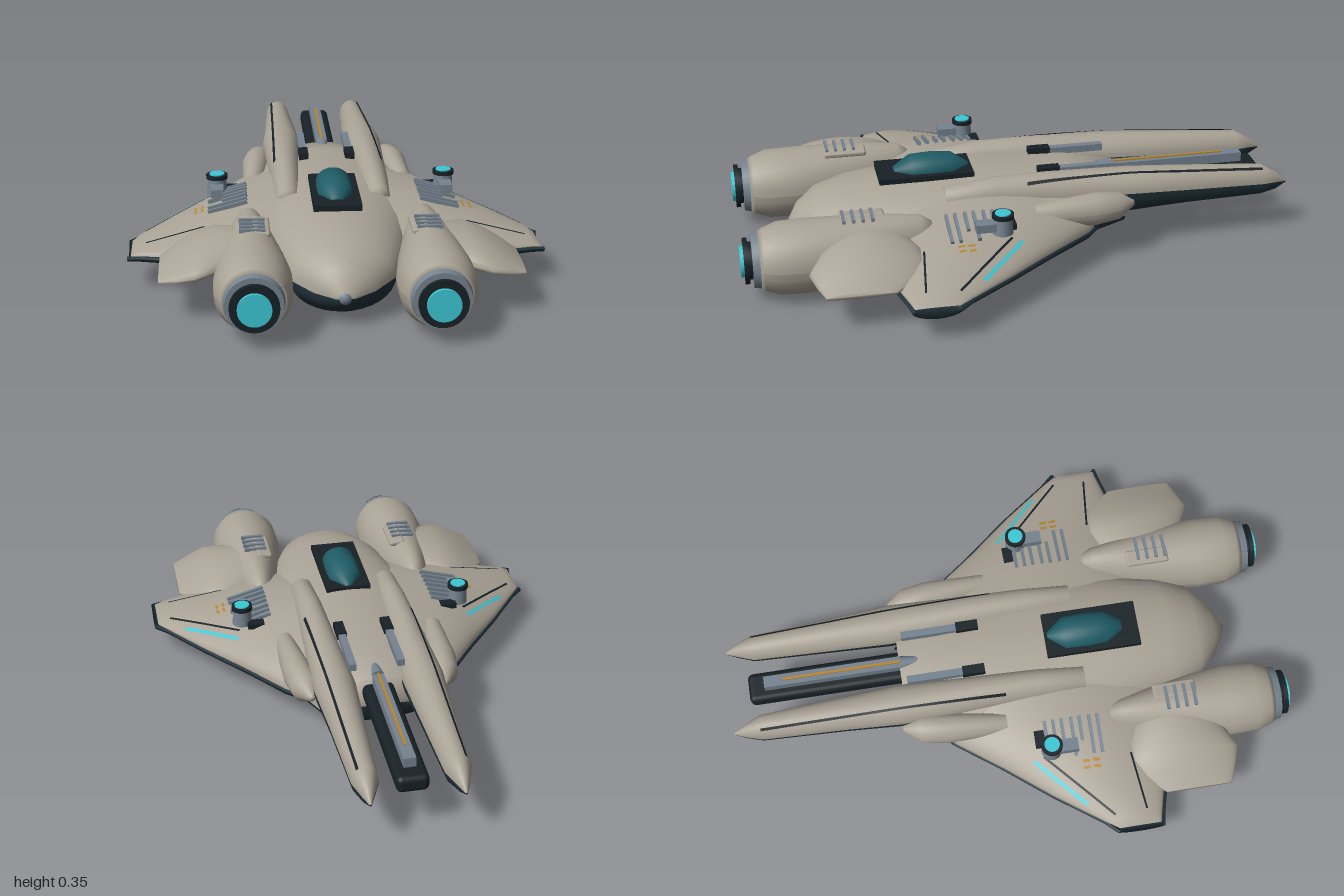
import * as THREE from 'three';
import { RoundedBoxGeometry } from 'three/addons/geometries/RoundedBoxGeometry.js';

const mat = (name, color) => new THREE.MeshStandardMaterial({ name, color, side: THREE.DoubleSide });

// grid of points -> smooth surface
function surface(rows) {
  const n = rows[0].length, pos = [], idx = [];
  rows.forEach((row, i) => row.forEach((p, j) => {
    pos.push(...p);
    if (i && j) {
      const a = (i - 1) * n + j - 1, b = a + 1, c = a + n, d = c + 1;
      idx.push(a, c, b, b, c, d);
    }
  }));
  const g = new THREE.BufferGeometry();
  g.setAttribute('position', new THREE.Float32BufferAttribute(pos, 3));
  g.setIndex(idx);
  g.computeVertexNormals();
  return g;
}

// linear interpolation of a station table, keyed by its first column
function sample(table, k) {
  let i = 1;
  while (i < table.length - 1 && k > table[i][0]) i++;
  const a = table[i - 1], b = table[i];
  const f = THREE.MathUtils.clamp((k - a[0]) / (b[0] - a[0]), 0, 1);
  return a.map((v, j) => v + (b[j] - v) * f);
}

// body sections: [z, halfWidth, top, split, bottom, centreX]
const HULL = [[-0.38, 0.2, 0.25, 0.13, 0.07, 0], [-0.2, 0.29, 0.28, 0.14, 0.045, 0], [0.1, 0.3, 0.29, 0.15, 0.02, 0],
  [0.4, 0.25, 0.287, 0.15, 0.003, 0], [0.6, 0.21, 0.268, 0.14, 0, 0], [0.71, 0.172, 0.238, 0.125, 0.01, 0],
  [0.78, 0.1, 0.19, 0.108, 0.04, 0], [0.82, 0.03, 0.12, 0.1, 0.075, 0]];
const PRONG = [[-1, 0.004, 0.195, 0.19, 0.185, 0.155], [-0.96, 0.022, 0.23, 0.198, 0.163, 0.155],
  [-0.9, 0.045, 0.265, 0.205, 0.15, 0.153], [-0.6, 0.06, 0.287, 0.218, 0.144, 0.153], [-0.4, 0.073, 0.3, 0.23, 0.135, 0.155],
  [-0.1, 0.06, 0.31, 0.232, 0.15, 0.156], [0.1, 0.052, 0.308, 0.24, 0.2, 0.157], [0.27, 0.042, 0.285, 0.24, 0.2, 0.158]];
const POD = [[-0.4, 0.01, 0.21, 0.2, 0.19, 0.235], [-0.34, 0.05, 0.25, 0.2, 0.15, 0.245],
  [-0.25, 0.053, 0.26, 0.2, 0.14, 0.257], [-0.03, 0.036, 0.245, 0.2, 0.15, 0.272]];
const NACELLE = [[0.34, 0.03, 0.235, 0.2, 0.15, 0.3], [0.38, 0.058, 0.262, 0.15, 0.06, 0.3], [0.5, 0.085, 0.273, 0.145, 0.04, 0.298],
  [0.65, 0.112, 0.275, 0.145, 0.024, 0.296], [0.77, 0.128, 0.275, 0.145, 0.015, 0.295],
  [0.87, 0.126, 0.272, 0.145, 0.018, 0.295], [0.92, 0.108, 0.253, 0.145, 0.037, 0.295], [0.935, 0.1, 0.245, 0.145, 0.045, 0.295]];

// half shell of a body: upper or lower arc of every section, closed at both ends
function halfBody(table, lower, s) {
  const rows = table.map(([z, hw, top, split, bot, cx]) => Array.from({ length: 17 }, (_, i) => {
    const a = Math.PI * i / 16;
    return [s * (cx + hw * Math.cos(a)), split + ((lower ? bot : top) - split) * Math.sin(a), z];
  }));
  const cap = (sec, row) => row.map(() => [s * sec[5], sec[3], sec[0]]);
  return surface([cap(table[0], rows[0]), ...rows, cap(table.at(-1), rows.at(-1))]);
}
const bodyTop = (table) => (x, z) => {
  const [, hw, top, split, , cx] = sample(table, z);
  return split + (top - split) * Math.sqrt(Math.max(0, 1 - ((x - cx) / hw) ** 2));
};

// span stations: [x, leadZ, trailZ, top, edge, bottom]
const WING = [[0.1, -0.38, 0.55, 0.27, 0.13, 0.02], [0.3, -0.22, 0.55, 0.25, 0.13, 0.045], [0.42, -0.06, 0.53, 0.217, 0.13, 0.057],
  [0.55, 0.1, 0.5, 0.182, 0.13, 0.073], [0.67, 0.265, 0.468, 0.15, 0.127, 0.087], [0.7, 0.31, 0.46, 0.126, 0.124, 0.09]];
const FLAP = [[0.34, 0.42, 0.72, 0.25, 0.18, 0.15], [0.42, 0.385, 0.75, 0.248, 0.175, 0.14], [0.48, 0.385, 0.78, 0.225, 0.165, 0.135],
  [0.54, 0.42, 0.76, 0.192, 0.15, 0.13], [0.6, 0.5, 0.735, 0.15, 0.14, 0.13]];
const chord = (t) => Math.sqrt(Math.max(0, Math.sin(Math.PI * t)));
const STEPS = Array.from({ length: 25 }, (_, i) => (1 - Math.cos(Math.PI * i / 24)) / 2);

const panelUpper = (table, s) => surface(table.map(([x, zl, zt, top, edge]) =>
  STEPS.map((t) => [s * x, edge + (top - edge) * chord(t), zl + (zt - zl) * t])));
// underside with a small lip standing proud of the upper skin
function panelLower(table, s, lip) {
  const rows = table.map(([x, zl, zt, , edge, bot], i) => {
    const px = s * (x + (i === table.length - 1 ? lip : 0));
    const under = STEPS.map((t) => [px, edge - 0.004 + (bot - edge + 0.004) * chord(t), zl - lip + (zt - zl + 2 * lip) * t]);
    return [[px, edge, zl], ...under, [px, edge, zt]];
  });
  const [x, zl, zt, , edge] = table.at(-1);
  rows.push(rows[0].map((_, i) => [s * x, edge, zl + (zt - zl) * (STEPS[Math.min(24, Math.max(0, i - 1))])]));
  return surface(rows);
}
const wingTop = (x, z) => {
  const [, zl, zt, top, edge] = sample(WING, x);
  return edge + (top - edge) * chord(THREE.MathUtils.clamp((z - zl) / (zt - zl), 0, 1));
};

export function createModel() {
  const model = new THREE.Group();
  const hullPaint = mat('warm grey hull', 0xaaa396), darkHull = mat('dark slate hull', 0x21323a), trim = mat('black trim', 0x182126);
  const metal = mat('blue grey metal', 0x75838f), glass = mat('teal glass', 0x1f5c66), glow = mat('cyan glow', 0x3cc8d6);
  const gold = mat('gold marking', 0xb9862f);
  const add = (name, geo, material, x = 0, y = 0, z = 0) => {
    const m = new THREE.Mesh(geo, material);
    m.name = name;
    m.position.set(x, y, z);
    model.add(m);
    return m;
  };
  const box = (name, w, h, d, material, x, y, z) => add(name, new THREE.BoxGeometry(w, h, d), material, x, y, z);
  const disc = (name, r1, r2, h, material, x, y, z, alongZ) => {
    const g = new THREE.CylinderGeometry(r1, r2, h, 32);
    if (alongZ) g.rotateX(Math.PI / 2);
    return add(name, g, material, x, y, z);
  };
  // painted strip laid over a surface
  const stripe = (name, x1, z1, x2, z2, w, material, height, s) => {
    const len = Math.hypot(x2 - x1, z2 - z1), nx = -(z2 - z1) / len * w / 2, nz = (x2 - x1) / len * w / 2;
    add(name, surface(Array.from({ length: 21 }, (_, i) => [-1, 1].map((k) => {
      const x = x1 + (x2 - x1) * i / 20 + k * nx, z = z1 + (z2 - z1) * i / 20 + k * nz;
      return [s * x, height(x, z) + 0.004, z];
    }))), material);
  };

  // central hull and nose cap
  add('hullUpper', halfBody(HULL, false, 1), hullPaint);
  add('hullLower', halfBody(HULL, true, 1), darkHull);
  add('noseCap', new THREE.SphereGeometry(0.025, 20, 12), metal, 0, 0.1, 0.805);

  // cockpit
  box('cockpitBase', 0.165, 0.02, 0.34, trim, 0, 0.29, 0.32);
  const CANOPY = [[0.16, 0.012, 0.305, 0.295, 0, 0], [0.22, 0.06, 0.346, 0.295, 0, 0],
    [0.3, 0.063, 0.352, 0.295, 0, 0], [0.37, 0.06, 0.348, 0.295, 0, 0], [0.43, 0.022, 0.308, 0.295, 0, 0]];
  add('canopy', halfBody(CANOPY, false, 1), glass);

  // central rail gun between the prongs
  add('railBase', new RoundedBoxGeometry(0.11, 0.06, 0.59, 3, 0.02), trim, 0, 0.19, -0.635);
  box('railBarrel', 0.042, 0.04, 0.5, metal, 0, 0.235, -0.62);
  const tail = disc('railTail', 0.01, 0.022, 0.1, metal, 0, 0.25, -0.325, true);
  tail.scale.y = 0.8;
  box('railStripe', 0.009, 0.006, 0.5, gold, 0, 0.257, -0.55);

  for (const s of [1, -1]) {
    // prongs, shoulder pods and engine nacelles
    add('prongUpper', halfBody(PRONG, false, s), hullPaint);
    add('prongLower', halfBody(PRONG, true, s), darkHull);
    stripe('prongLine', 0.178, -0.9, 0.196, -0.02, 0.008, trim, bodyTop(PRONG), s);
    for (const low of [false, true]) {
      add('shoulderPod', halfBody(POD, low, s), hullPaint);
      add('nacelle', halfBody(NACELLE, low, s), hullPaint);
    }

    // exhaust
    const ex = s * 0.295, ey = 0.145;
    disc('exhaustCollar', 0.094, 0.1, 0.03, metal, ex, ey, 0.945, true);
    disc('exhaustCore', 0.065, 0.065, 0.03, trim, ex, ey, 0.965, true);
    disc('exhaustRing', 0.08, 0.08, 0.016, trim, ex, ey, 0.98, true);
    disc('exhaustGlow', 0.055, 0.055, 0.012, glow, ex, ey, 0.994, true);

    // vents on the nacelle
    const pad = add('nacellePad', new RoundedBoxGeometry(0.058, 0.02, 0.155, 2, 0.008), hullPaint, s * 0.262, 0.264, 0.578);
    pad.rotation.z = s * 0.12;
    for (const z of [0.545, 0.578, 0.611, 0.644]) box('nacelleSlat', 0.085, 0.012, 0.011, metal, s * 0.292, 0.276, z);

    // wing and rear flap
    add('wingUpper', panelUpper(WING, s), hullPaint);
    add('wingLower', panelLower(WING, s, 0.012), darkHull);
    add('flapUpper', panelUpper(FLAP, s), hullPaint);
    add('flapLower', panelLower(FLAP, s, 0), hullPaint);

    // wing markings
    stripe('wingGlowStripe', 0.43, 0.045, 0.605, 0.21, 0.012, glow, wingTop, s);
    stripe('wingPanelLine', 0.42, 0.08, 0.655, 0.3, 0.008, trim, wingTop, s);
    stripe('wingRearLine', 0.45, 0.39, 0.65, 0.415, 0.007, trim, wingTop, s);
    for (const x of [0.457, 0.48]) {
      for (const z of [0.215, 0.25]) stripe('goldMark', x, z, x + 0.003, z + 0.025, 0.01, gold, wingTop, s);
    }

    // wing slats
    [0.1, 0.13, 0.16, 0.195, 0.225, 0.26, 0.29].forEach((z, i) => {
      const outer = i > 2 && i !== 4 ? 0.44 : 0.39, x = (0.3 + outer) / 2;
      const slat = box('wingSlat', outer - 0.3, 0.014, 0.011, metal, s * x, wingTop(x, z) + 0.006, z);
      slat.rotation.z = -s * 0.27;
    });
    box('slatHousing', 0.06, 0.02, 0.035, trim, s * 0.36, wingTop(0.36, 0.075) + 0.003, 0.075);

    // wing turret
    const tx = s * 0.405;
    disc('turretBase', 0.032, 0.036, 0.06, metal, tx, 0.25, 0.11);
    disc('turretCap', 0.038, 0.038, 0.014, trim, tx, 0.286, 0.11);
    disc('turretLight', 0.027, 0.027, 0.006, glow, tx, 0.294, 0.11);
    box('turretBarrel', 0.045, 0.03, 0.08, metal, tx, 0.25, 0.165);

    // hull guns
    box('hullGunBarrel', 0.026, 0.026, 0.2, metal, s * 0.085, 0.282, -0.26);
    box('hullGunBreech', 0.034, 0.034, 0.08, trim, s * 0.085, 0.283, -0.12);
  }
  return model;
}
